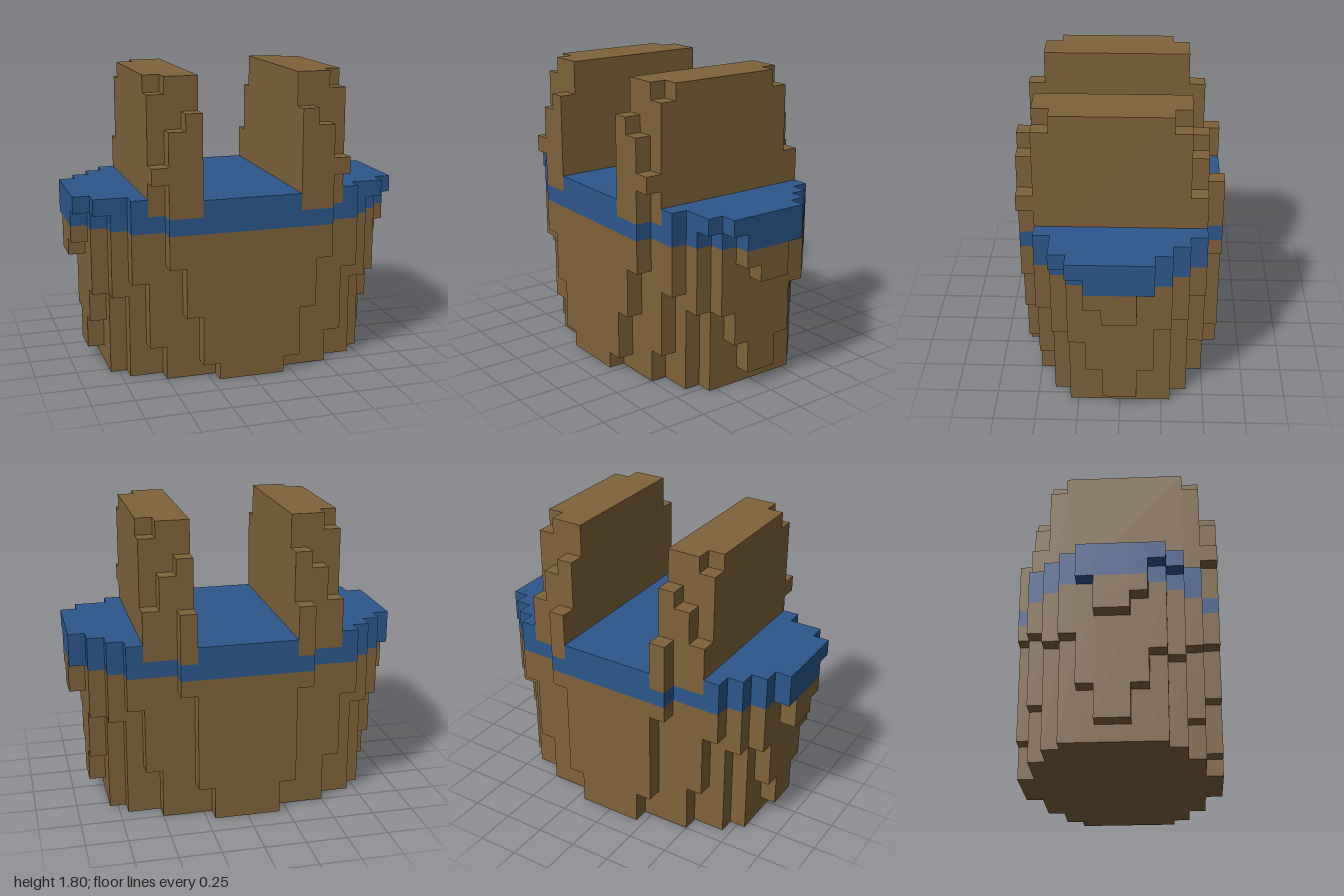
import * as THREE from 'three';
import { mergeGeometries } from 'three/addons/utils/BufferGeometryUtils.js';

const brown = new THREE.MeshStandardMaterial({ color: 0x80633b });
brown.name = 'brown';
const blue = new THREE.MeshStandardMaterial({ color: 0x2c578b });
blue.name = 'blue';

const BAND_Y = 0.9, SHELF_Y = 1.0, RIM_Y = 1.1, INNER = 0.3, OUTER = 0.6;

// Slices along z: [z0, z1, [half width, top of that step], ...]
const bowlRows = [
  [-0.6, -0.5, [0.2, 0.2], [0.3, 0.8], [0.4, 1.1]],
  [-0.5, -0.4, [0.5, 0.3], [0.6, 0.7], [0.7, 1.1]],
  [-0.4, -0.3, [0.7, 0.6], [0.8, 1.1]],
  [-0.3, -0.2, [0.8, 0.6], [0.9, 1.1]],
  [-0.2, -0.1, [0.8, 0.3], [0.9, 0.9], [1.0, 1.1]],
  [-0.1, 0.1, [0.8, 0.1], [0.9, 0.7], [1.0, 1.1]],
  [0.1, 0.2, [0.8, 0.3], [0.9, 0.8], [1.0, 1.1]],
  [0.2, 0.3, [0.8, 0.5], [0.9, 1.0], [1.0, 1.1]],
  [0.3, 0.4, [0.7, 0.5], [0.8, 1.0], [0.9, 1.1]],
  [0.4, 0.5, [0.5, 0.2], [0.6, 0.6], [0.7, 1.1]],
  [0.5, 0.6, [0.2, 0.1], [0.3, 0.4], [0.4, 0.7], [0.5, 1.1]],
];

// Upright slices: [z0, z1, [outer x, top of that step], ...]
const uprightRows = [
  [-0.6, -0.5, [0.4, 1.3]],
  [-0.5, -0.4, [0.6, 1.3], [0.5, 1.5], [0.4, 1.6]],
  [-0.4, -0.3, [0.6, 1.7], [0.5, 1.8]],
  [-0.3, 0.4, [0.6, 1.8]],
  [0.4, 0.5, [0.6, 1.7], [0.5, 1.8]],
  [0.5, 0.6, [0.5, 1.2], [0.6, 1.3], [0.5, 1.5], [0.4, 1.6]],
];

function block(x0, x1, y0, y1, z0, z1) {
  return new THREE.BoxGeometry(x1 - x0, y1 - y0, z1 - z0)
    .translate((x0 + x1) / 2, (y0 + y1) / 2, (z0 + z1) / 2);
}

// Visit each step of each slice, clipped to a height range
function eachStep(rows, low, high, visit) {
  for (const [z0, z1, ...steps] of rows) {
    let y = 0;
    for (const [w, top] of steps) {
      const y0 = Math.max(y, low), y1 = Math.min(top, high);
      if (y1 > y0) visit(w, y0, y1, z0, z1);
      y = top;
    }
  }
}

export function createModel() {
  const group = new THREE.Group();
  const add = (name, blocks, material) => {
    const mesh = new THREE.Mesh(mergeGeometries(blocks), material);
    mesh.name = name;
    group.add(mesh);
  };

  // Stepped bowl that widens upward
  const bowl = [];
  eachStep(bowlRows, 0, BAND_Y, (w, y0, y1, z0, z1) => bowl.push(block(-w, w, y0, y1, z0, z1)));
  add('bowl', bowl, brown);

  // Band, with its top layer split around the uprights
  const band = [block(-INNER, INNER, SHELF_Y, RIM_Y, -0.6, 0.6)];
  eachStep(bowlRows, BAND_Y, SHELF_Y, (w, y0, y1, z0, z1) => band.push(block(-w, w, y0, y1, z0, z1)));
  eachStep(bowlRows, SHELF_Y, RIM_Y, (w, y0, y1, z0, z1) => {
    if (w > OUTER) band.push(block(OUTER, w, y0, y1, z0, z1), block(-w, -OUTER, y0, y1, z0, z1));
  });
  add('band', band, blue);

  // Mirrored pair of uprights
  for (const side of [1, -1]) {
    const upright = [];
    eachStep(uprightRows, SHELF_Y, 1.8, (w, y0, y1, z0, z1) => {
      const [x0, x1] = side > 0 ? [INNER, w] : [-w, -INNER];
      upright.push(block(x0, x1, y0, y1, z0, z1));
    });
    add(side > 0 ? 'leftUpright' : 'rightUpright', upright, brown);
  }
  return group;
}
